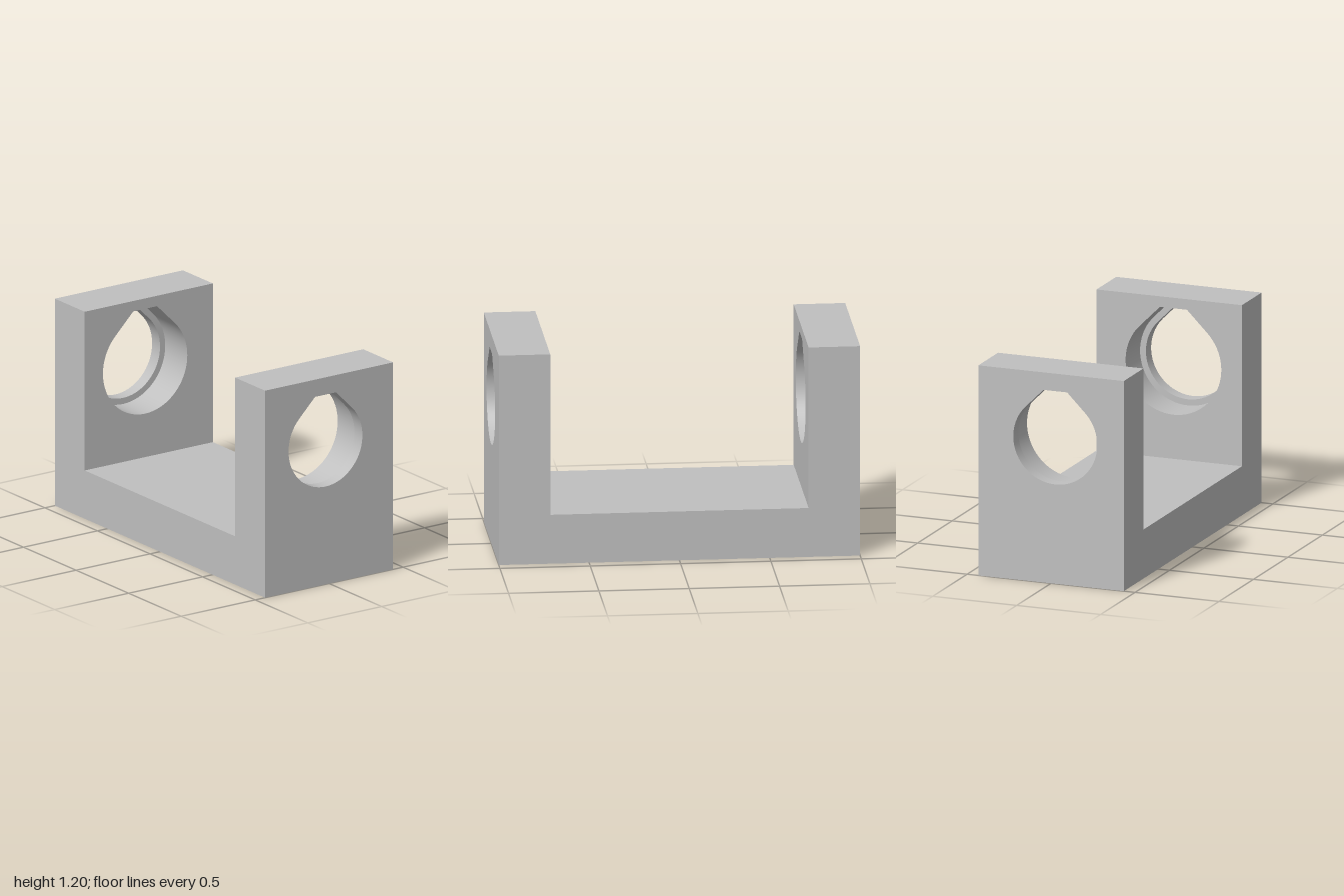
import * as THREE from 'three';
import { toCreasedNormals } from 'three/addons/utils/BufferGeometryUtils.js';

const W = 1, D = 0.433, H = 1.2;        // half width, half depth, height
const FLOOR = 0.28, INNER = 0.715;      // floor height, inner wall face
const BORE_Y = 0.817, BORE_Z = 0.025;   // axis of the wall bores
const R_SMALL = 0.25, R_LARGE = 0.285, LIP = 0.075;
const SCREW_X = 0.74, SCREW_Z = 0.022, SCREW_R = 0.104, SCREW_DEPTH = 0.21;

const rect = (x0, y0, x1, y1) =>
  [[x0, y0], [x1, y0], [x1, y1], [x0, y1]].map(p => new THREE.Vector2(...p));

// Arc of points, counter-clockwise
function arc(cx, cy, r, from, to, n) {
  return Array.from({ length: n + 1 }, (_, i) => {
    const a = from + (to - from) * i / n;
    return new THREE.Vector2(cx + r * Math.cos(a), cy + r * Math.sin(a));
  });
}

// Round bore with a 45 degree roof cut off flat
function teardrop(cx, cy, r) {
  const top = 1.132 * r, half = Math.SQRT2 * r - top;
  return [...arc(cx, cy, r, Math.PI * 0.75, Math.PI * 2.25, 54),
    new THREE.Vector2(cx + half, cy + top), new THREE.Vector2(cx - half, cy + top)];
}

const circle = (cx, cy, r) => arc(cx, cy, r, 0, Math.PI * 2, 40).slice(0, -1);

// Flat face looking along +z
function face(outline, holes = []) {
  const shape = new THREE.Shape(outline);
  shape.holes = holes.map(h => new THREE.Path(h));
  return new THREE.ShapeGeometry(shape);
}

// Inward-facing wall of a hole, running from z = 0 back to z = -depth
function bore(loop, depth) {
  const pos = [];
  loop.forEach((a, i) => {
    const b = loop[(i + 1) % loop.length];
    pos.push(a.x, a.y, 0, b.x, b.y, 0, b.x, b.y, -depth);
    pos.push(a.x, a.y, 0, b.x, b.y, -depth, a.x, a.y, -depth);
  });
  const g = new THREE.BufferGeometry();
  g.setAttribute('position', new THREE.Float32BufferAttribute(pos, 3));
  return toCreasedNormals(g, 0.4);
}

export function createModel() {
  const model = new THREE.Group();
  model.name = 'bracket';
  const grey = new THREE.MeshStandardMaterial({ color: 0xc0c0c0 });
  grey.name = 'grey';

  const add = (name, geometry) => {
    const mesh = new THREE.Mesh(geometry, grey);
    mesh.name = name;
    model.add(mesh);
  };

  // U-shaped front and back
  const u = [[-W, 0], [W, 0], [W, H], [INNER, H], [INNER, FLOOR], [-INNER, FLOOR], [-INNER, H], [-W, H]]
    .map(p => new THREE.Vector2(...p));
  add('front', face(u).translate(0, 0, D));
  add('back', face(u).rotateY(Math.PI).translate(0, 0, -D));

  // Floor between the walls
  add('floor', face(rect(-INNER, -D, INNER, D)).rotateX(-Math.PI / 2).translate(0, FLOOR, 0));

  // Underside with two blind screw holes
  const screws = [-SCREW_X, SCREW_X].map(x => circle(x, SCREW_Z, SCREW_R));
  add('underside', face(rect(-W, -D, W, D), screws).rotateX(Math.PI / 2));
  for (const loop of screws) {
    add('screwHoleWall', bore(loop, SCREW_DEPTH).rotateX(Math.PI / 2));
    add('screwHoleEnd', face(loop).rotateX(Math.PI / 2).translate(0, SCREW_DEPTH, 0));
  }

  // Both walls: stepped bore, wide on the inside with a narrow outer lip
  for (const [side, s] of [['left', 1], ['right', -1]]) {
    const place = (g, dir, x) => g.rotateY(dir * Math.PI / 2).translate(x, 0, 0);
    const hole = (dir, r) => teardrop(-dir * BORE_Z, BORE_Y, r);

    const outer = hole(s, R_SMALL);
    add(side + 'WallOuter', place(face(rect(-D, 0, D, H), [outer]), s, s * W));
    add(side + 'LipBore', place(bore(outer, LIP), s, s * W));

    const wide = hole(-s, R_LARGE);
    add(side + 'WallInner', place(face(rect(-D, FLOOR, D, H), [wide]), -s, s * INNER));
    add(side + 'WideBore', place(bore(wide, W - LIP - INNER), -s, s * INNER));
    add(side + 'BoreStep', place(face(wide, [hole(-s, R_SMALL)]), -s, s * (W - LIP)));

    const top = face(rect(-(W - INNER) / 2, -D, (W - INNER) / 2, D));
    add(side + 'WallTop', top.rotateX(-Math.PI / 2).translate(s * (W + INNER) / 2, H, 0));
  }
  return model;
}
